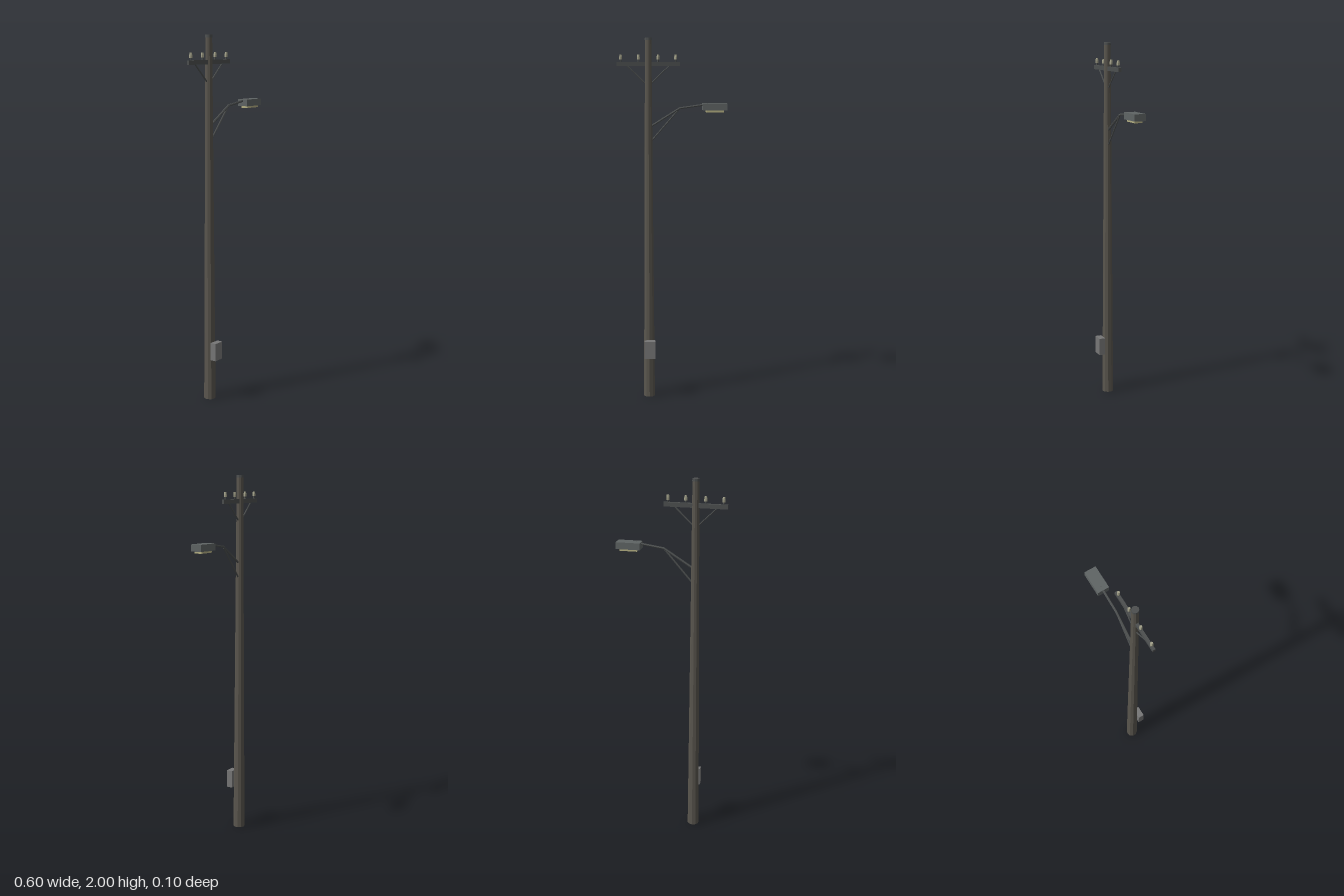
import * as THREE from 'three';

const mat = (color) => new THREE.MeshStandardMaterial({ color, flatShading: true });
const POLE_X = -0.129;
const AXIS_Z = -0.017;

export function createModel() {
  const group = new THREE.Group();
  const wood = mat(0x5a564e);
  const steel = mat(0x4c4f4f);
  const housing = mat(0x5f6464);
  const grey = mat(0x777777);
  const ceramic = mat(0xa3a18a);
  const glass = mat(0xb5b083);

  const add = (name, geometry, material, x, y, z = AXIS_Z, parent = group) => {
    const mesh = new THREE.Mesh(geometry, material);
    mesh.name = name;
    mesh.position.set(x, y, z);
    parent.add(mesh);
    return mesh;
  };

  // Straight rod between two points in the plane of the pole
  const rod = (name, [x1, y1], [x2, y2], radius, sides = 6) => {
    const length = Math.hypot(x2 - x1, y2 - y1);
    const geometry = new THREE.CylinderGeometry(radius, radius, length, sides);
    const mesh = add(name, geometry, steel, (x1 + x2) / 2, (y1 + y2) / 2);
    mesh.rotation.z = Math.atan2(y2 - y1, x2 - x1) - Math.PI / 2;
    return mesh;
  };

  // Tapered pole with a thin cap
  add('pole', new THREE.CylinderGeometry(0.018, 0.032, 1.988, 10), wood, POLE_X, 0.994);
  add('poleCap', new THREE.CylinderGeometry(0.0185, 0.0195, 0.014, 10), steel, POLE_X, 1.993);

  // Crossarm with diagonal braces
  add('crossarm', new THREE.BoxGeometry(0.342, 0.023, 0.015), steel, POLE_X, 1.859);
  for (const side of [-1, 1]) {
    rod('crossarmBrace', [POLE_X + side * 0.115, 1.851], [POLE_X + side * 0.012, 1.752], 0.004);
  }

  // Insulators: a pin carrying a bell-shaped head
  const bell = [[0, 0], [0.009, 0], [0.009, 0.012], [0.0065, 0.026], [0, 0.026]]
    .map(([r, y]) => new THREE.Vector2(r, y));
  for (const offset of [-0.148, -0.053, 0.053, 0.148]) {
    const insulator = new THREE.Group();
    insulator.name = 'insulator';
    insulator.position.set(POLE_X + offset, 1.87, AXIS_Z);
    add('insulatorPin', new THREE.CylinderGeometry(0.005, 0.005, 0.018, 6), steel, 0, 0.007, 0, insulator);
    add('insulatorHead', new THREE.LatheGeometry(bell, 6), ceramic, 0, 0.013, 0, insulator);
    group.add(insulator);
  }

  // Bent lamp arm and its support strut
  rod('lampArmLower', [POLE_X + 0.012, 1.523], [0.042, 1.622], 0.0062);
  rod('lampArmUpper', [0.038, 1.621], [0.192, 1.643], 0.0062);
  rod('lampStrut', [POLE_X + 0.012, 1.44], [0.036, 1.615], 0.0048);

  // Lamp head with a lens underneath
  add('lampHousing', new THREE.BoxGeometry(0.133, 0.037, 0.064), housing, 0.2325, 1.6295);
  add('lampLens', new THREE.BoxGeometry(0.096, 0.012, 0.044), glass, 0.2325, 1.606);

  // Service box on the front of the pole
  add('serviceBox', new THREE.BoxGeometry(0.061, 0.098, 0.034), grey, POLE_X + 0.001, 0.281, 0.0295);

  return group;
}
